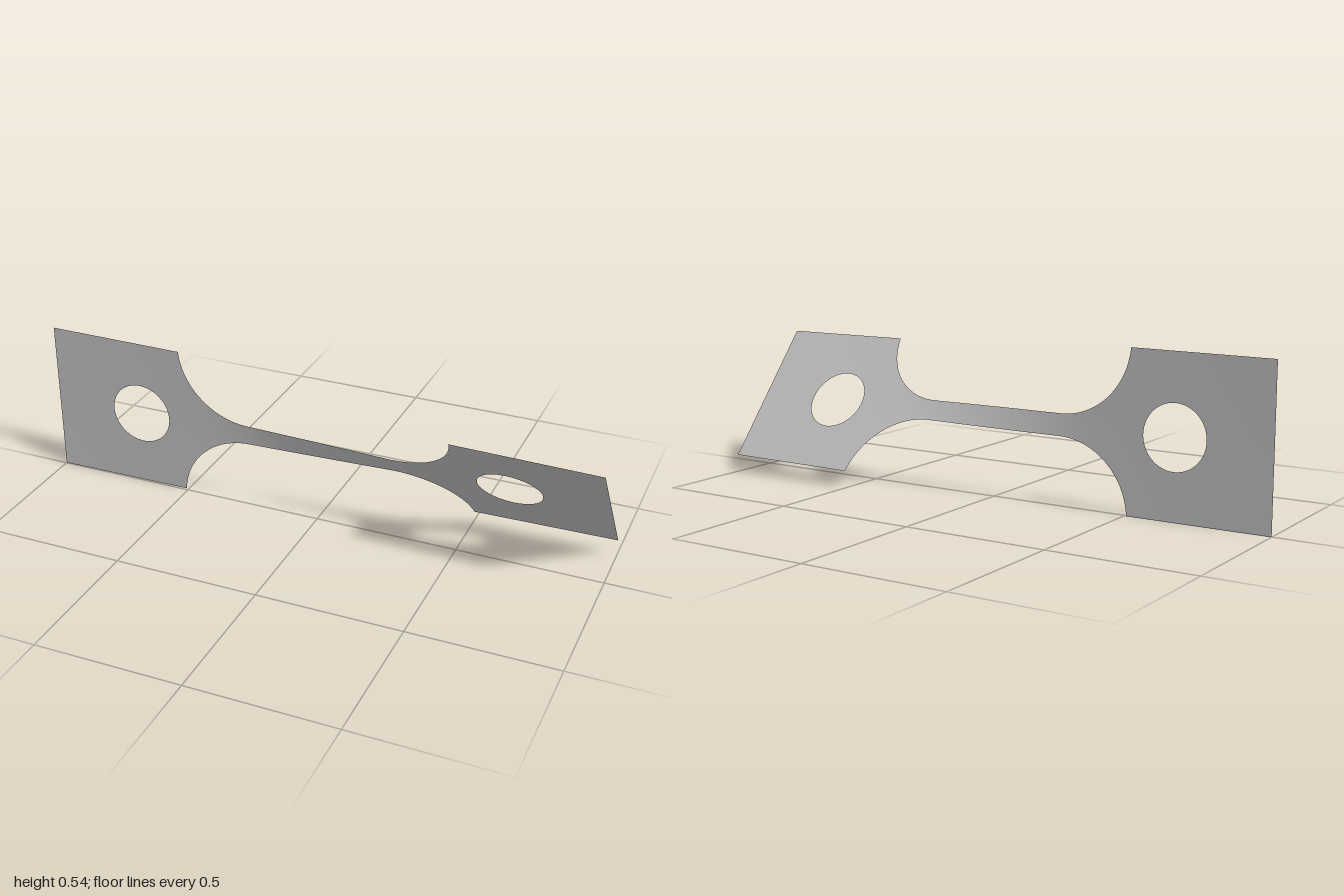
import * as THREE from 'three';
import { mergeVertices } from 'three/addons/utils/BufferGeometryUtils.js';

const HALF = 0.271;                              // half width of the end plates
const NECK = 0.037;                              // half width of the neck
const FILLET = { x: 0.255, r: 0.254 };           // fillet circle
const HOLE = { x: 0.669, r: 0.109 };             // round hole in each plate
const EDGE = FILLET.x + Math.sqrt(FILLET.r ** 2 - (NECK + FILLET.r - HALF) ** 2);

// Half width of the flat outline at x
function outer(x) {
  const a = Math.abs(x);
  if (a <= FILLET.x) return NECK;
  if (a >= EDGE - 1e-9) return HALF;
  return NECK + FILLET.r - Math.sqrt(FILLET.r ** 2 - (a - FILLET.x) ** 2);
}

// Half height of the hole at x
function inner(x) {
  const d = HOLE.r ** 2 - (Math.abs(x) - HOLE.x) ** 2;
  return d > 1e-9 ? Math.sqrt(d) : 0;
}

// Twist about the long axis: narrow sections turn much faster than wide ones
const STEPS = 2000;
const twistTable = [0];
for (let i = 0; i < STEPS; i++) {
  const x = -1 + (2 * (i + 0.5)) / STEPS;
  twistTable.push(twistTable[i] + outer(x) ** -1.42);
}
function twist(x) {
  const f = Math.min(Math.max(((x + 1) / 2) * STEPS, 0), STEPS);
  const i = Math.min(Math.floor(f), STEPS - 1);
  const t = THREE.MathUtils.lerp(twistTable[i], twistTable[i + 1], f - i) / twistTable[STEPS];
  return THREE.MathUtils.degToRad(0.3 + 39 * t);
}

// Column positions: fine around the fillets and the hole
function columns() {
  const half = [];
  for (let i = 1; i <= 12; i++) half.push((FILLET.x * i) / 12);
  const sweep = Math.asin((EDGE - FILLET.x) / FILLET.r);
  for (let i = 1; i <= 24; i++) half.push(FILLET.x + FILLET.r * Math.sin((sweep * i) / 24));
  half[half.length - 1] = EDGE;
  for (let i = 0; i <= 40; i++) half.push(HOLE.x - HOLE.r * Math.cos((Math.PI * i) / 40));
  for (let i = 1; i <= 5; i++) half.push(HOLE.x + HOLE.r + ((1 - HOLE.x - HOLE.r) * i) / 5);
  return [...half.map((x) => -x).reverse(), 0, ...half];
}

// Twisted sheet made of an upper and a lower strip of quads
function sheetGeometry() {
  const xs = columns();
  const rows = 8;
  const positions = [];
  const index = [];
  for (const side of [1, -1]) {
    const base = positions.length / 3;
    for (const x of xs) {
      const angle = twist(x);
      for (let j = 0; j <= rows; j++) {
        const v = side * THREE.MathUtils.lerp(inner(x), outer(x), j / rows);
        positions.push(x, HALF + v * Math.cos(angle), v * Math.sin(angle));
      }
    }
    for (let i = 0; i < xs.length - 1; i++) {
      for (let j = 0; j < rows; j++) {
        const a = base + i * (rows + 1) + j;
        const b = a + rows + 1;
        if (side > 0) index.push(a, b, b + 1, a, b + 1, a + 1);
        else index.push(a, b + 1, b, a, a + 1, b + 1);
      }
    }
  }
  const geometry = new THREE.BufferGeometry();
  geometry.setAttribute('position', new THREE.Float32BufferAttribute(positions, 3));
  geometry.setIndex(index);
  const merged = mergeVertices(geometry, 1e-5);
  merged.computeVertexNormals();
  return merged;
}

export function createModel() {
  const group = new THREE.Group();
  group.name = 'twistedTestStrip';

  const metal = new THREE.MeshStandardMaterial({ color: 0xc0c0c0, side: THREE.DoubleSide });
  metal.name = 'light grey metal';

  const sheet = new THREE.Mesh(sheetGeometry(), metal);
  sheet.name = 'twistedSheet';
  group.add(sheet);
  return group;
}
